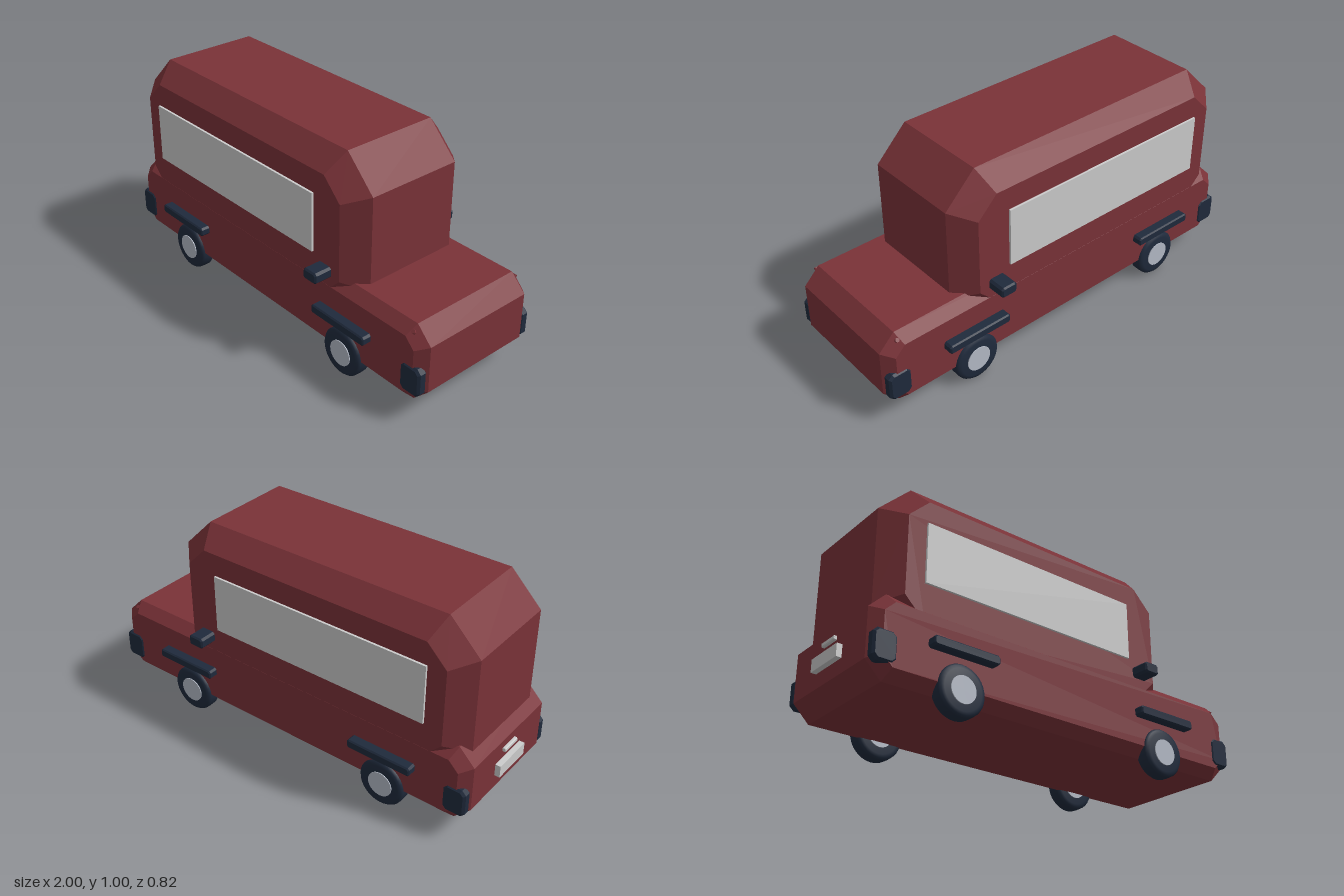
import * as THREE from 'three';
import { toCreasedNormals } from 'three/addons/utils/BufferGeometryUtils.js';

const paint = (color) => new THREE.MeshStandardMaterial({ color, flatShading: true });
const red = paint(0x7a3238);
const dark = paint(0x1f2a3c);
const grey = paint(0xcccccc);
const darkSmooth = new THREE.MeshStandardMaterial({ color: 0x1f2a3c });
const hubGrey = new THREE.MeshStandardMaterial({ color: 0xb4bac6 });

// Box with cut corners: c is the cut in the xy outline, b the bevel along z
function chamferBox(x0, x1, y0, y1, z0, z1, c, b) {
  const shape = new THREE.Shape([
    [x0 + c, y0], [x1 - c, y0], [x1, y0 + c], [x1, y1 - c],
    [x1 - c, y1], [x0 + c, y1], [x0, y1 - c], [x0, y0 + c],
  ].map(([x, y]) => new THREE.Vector2(x, y)));
  const geo = new THREE.ExtrudeGeometry(shape, {
    depth: z1 - z0 - 2 * b, bevelEnabled: true, bevelSegments: 1,
    bevelSize: b, bevelThickness: b, bevelOffset: -b,
  });
  return geo.translate(0, 0, z0 + b);
}

function box(x0, x1, y0, y1, z0, z1) {
  return new THREE.BoxGeometry(x1 - x0, y1 - y0, z1 - z0)
    .translate((x0 + x1) / 2, (y0 + y1) / 2, (z0 + z1) / 2);
}

// Revolved profile of [radius, axial] pairs, axis turned to z
function turned(points, crease) {
  const geo = new THREE.LatheGeometry(points.map(([r, a]) => new THREE.Vector2(r, a)), 32);
  return toCreasedNormals(geo.rotateX(Math.PI / 2), crease);
}

export function createModel() {
  const model = new THREE.Group();
  model.name = 'van';
  const add = (name, geo, mat, parent = model) => {
    const mesh = new THREE.Mesh(geo, mat);
    mesh.name = name;
    parent.add(mesh);
    return mesh;
  };

  // Chassis: long low body, sides bevelled
  const body = chamferBox(-0.975, 0.995, 0.075, 0.445, -0.325, 0.325, 0.075, 0.047);
  add('lowerBody', body, red);

  // Tall cabin, its lower edges sunk into the body
  const cabin = chamferBox(-0.935, 0.605, 0.26, 1, -0.3245, 0.3245, 0.15, 0.092);
  add('cabin', cabin, red);

  // Wheel profile: inner face, tread, outer face
  const tyre = turned([
    [0, -0.037], [0.09, -0.037], [0.104, -0.034], [0.112, -0.024], [0.113, 0],
    [0.112, 0.024], [0.104, 0.034], [0.09, 0.037], [0, 0.037],
  ], 0.7);
  const hub = turned([[0, -0.041], [0.06, -0.041], [0.06, 0.041], [0, 0.041]], 0.7);

  for (const side of [1, -1]) {
    const label = side > 0 ? 'front' : 'back';
    // Spans run outward from the body on either side
    const span = (a, b) => (side > 0 ? [a, b] : [-b, -a]);

    for (const x of [-0.565, 0.545]) {
      const wheel = new THREE.Group();
      wheel.name = label + 'Wheel';
      wheel.position.set(x, 0.113, side * 0.303);
      model.add(wheel);
      add('tyre', tyre, darkSmooth, wheel);
      add('hub', hub, hubGrey, wheel);
    }

    // Trim bars above the wheels
    for (const [x0, x1] of [[-0.725, -0.405], [0.388, 0.71]]) {
      add(label + 'TrimBar', chamferBox(x0, x1, 0.252, 0.295, ...span(0.29, 0.37), 0.009, 0.006), dark);
    }

    // Corner lamps
    for (const [x0, x1] of [[-0.972, -0.863], [0.88, 0.99]]) {
      add(label + 'Lamp', chamferBox(x0, x1, 0.135, 0.272, ...span(0.283, 0.33), 0.02, 0.01), dark);
    }

    add(label + 'Mirror', chamferBox(0.385, 0.465, 0.443, 0.495, ...span(0.3, 0.41), 0.01, 0.007), dark);
    add(label + 'Window', box(-0.755, 0.355, 0.525, 0.802, ...span(0.31, 0.335)), grey);

    // Small studs on the bonnet corners
    const stud = add(label + 'Stud', new THREE.CylinderGeometry(0.009, 0.009, 0.012, 12), red);
    stud.position.set(0.92, 0.415, side * 0.299);
    stud.rotation.x = side * Math.PI / 4;
  }

  // Tail plate and the handle above it
  add('tailPlate', box(-1, -0.96, 0.217, 0.275, -0.1, 0.1), grey);
  add('tailHandle', chamferBox(-0.99, -0.96, 0.312, 0.332, -0.05, 0.05, 0.004, 0.003), grey);

  return model;
}
